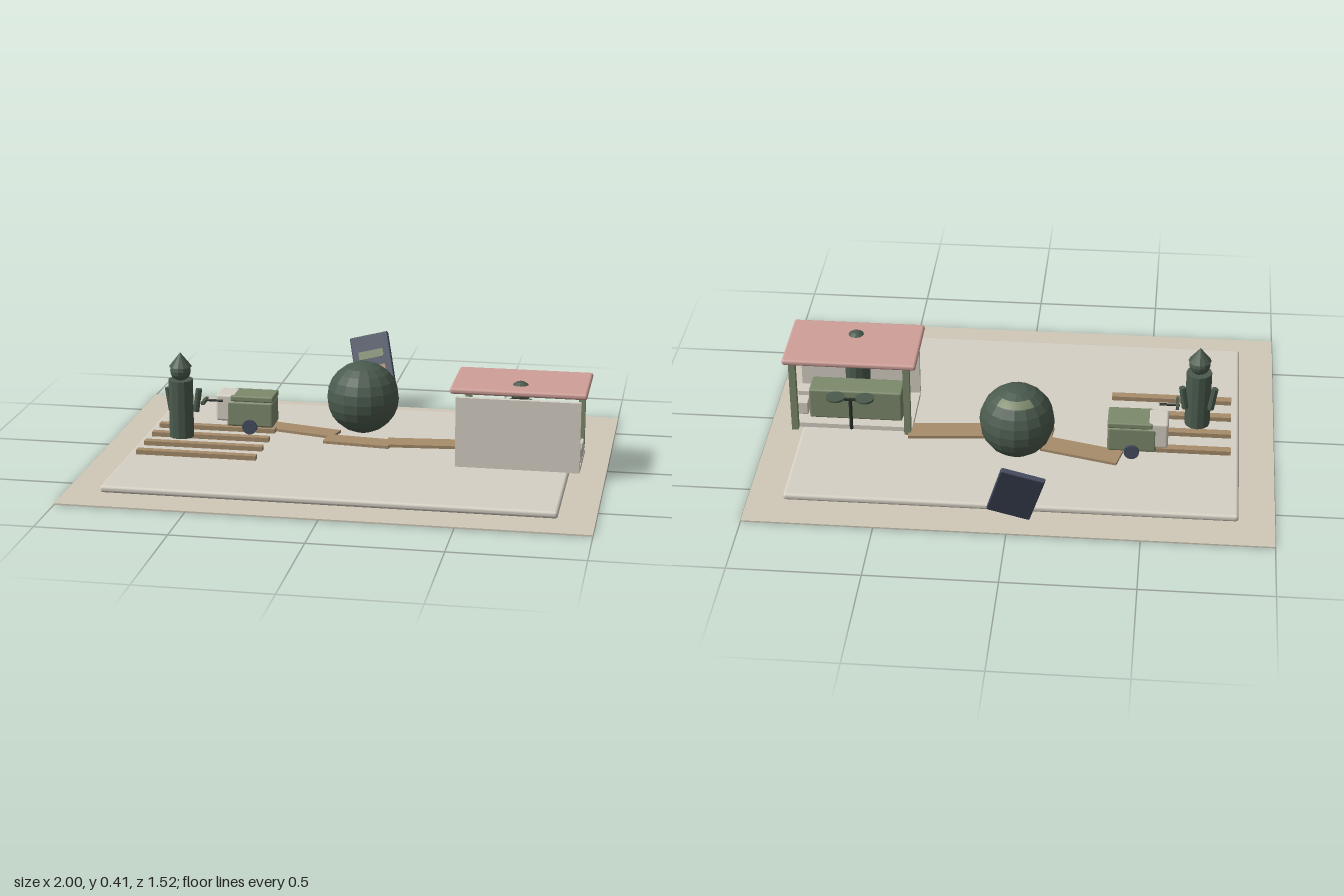
import * as THREE from 'three';
import { RoundedBoxGeometry } from 'three/addons/geometries/RoundedBoxGeometry.js';

const paint = (name, color, extra = {}) => {
  const m = new THREE.MeshStandardMaterial({ color, ...extra });
  m.name = name;
  return m;
};

export function createModel() {
  const sand = paint('sand', 0xd0c9b9);
  const pale = paint('pale stone', 0xd6d0c4);
  const darkGreen = paint('dark green', 0x4b5b4e);
  const olive = paint('olive', 0x7d8a6c);
  const pink = paint('dusty pink', 0xcf9f98);
  const tan = paint('wood tan', 0xa68c6b);
  const slate = paint('slate blue', 0x454d60);
  const black = paint('near black', 0x2a302c);
  darkGreen.flatShading = true;

  const model = new THREE.Group();
  model.name = 'diorama';

  const add = (name, geometry, material, pos, parent = model) => {
    const mesh = new THREE.Mesh(geometry, material);
    mesh.name = name;
    mesh.position.set(...pos);
    parent.add(mesh);
    return mesh;
  };
  const box = (name, size, mat, pos, parent) =>
    add(name, new THREE.BoxGeometry(...size), mat, pos, parent);
  const soft = (name, size, r, mat, pos, parent) =>
    add(name, new RoundedBoxGeometry(...size, 2, r), mat, pos, parent);
  const group = (name, pos = [0, 0, 0]) => {
    const g = new THREE.Group();
    g.name = name;
    g.position.set(...pos);
    model.add(g);
    return g;
  };

  // Ground sheet and raised platform
  box('ground', [2, 0.006, 1.465], sand, [0, 0.003, 0.0225]);
  soft('platform', [1.725, 0.028, 1.195], 0.012, pale, [0, 0.024, 0.023]);

  // Garden rows
  for (let i = 0; i < 4; i++) {
    box('gardenRow', [0.48, 0.022, 0.032], tan, [-0.59, 0.045, -0.155 + i * 0.12]);
  }

  // Path of three turned slabs: x, z, length, turn
  [[-0.25, -0.193, 0.31, -0.25], [0.005, -0.077, 0.27, -0.1], [0.28, -0.098, 0.32, 0.085]]
    .forEach(([x, z, length, turn], i) => {
      box('pathSlab', [length, 0.014, 0.092], tan, [x, 0.042 + i * 0.0004, z]).rotation.y = turn;
    });

  // Large sphere with a raised panel on its upper back
  const dome = group('sphere', [0, 0.19, -0.215]);
  add('sphereBody', new THREE.SphereGeometry(0.146, 16, 12), darkGreen, [0, 0, 0], dome);
  add('spherePanel', new THREE.SphereGeometry(0.148, 8, 2, Math.PI * 1.25, Math.PI / 2, 0.52, 0.24),
    olive, [0, 0, 0], dome);

  // Leaning board with three stripes
  const board = group('board', [-0.035, 0.173, -0.69]);
  board.rotation.set(-0.436, 0, 0.25, 'ZXY');
  soft('boardPanel', [0.168, 0.3, 0.02], 0.006, slate, [0, 0, 0], board);
  [olive, tan, pink].forEach((mat, i) => {
    box('boardStripe', [0.108, 0.034, 0.006], mat, [0, 0.063 - i * 0.068, 0.012], board);
  });

  // Cart with cab, lid and a pair of wheels
  const cart = group('cart', [-0.445, 0, -0.165]);
  soft('cartBody', [0.19, 0.105, 0.115], 0.01, olive, [0, 0.122, 0], cart);
  soft('cartLid', [0.175, 0.024, 0.12], 0.006, olive, [0.008, 0.187, 0], cart);
  soft('cartCab', [0.08, 0.11, 0.112], 0.01, pale, [-0.1, 0.145, 0], cart);
  for (const s of [-1, 1]) {
    add('wheel', new THREE.CylinderGeometry(0.03, 0.03, 0.02, 16), slate, [0, 0.072, s * 0.058], cart)
      .rotation.x = Math.PI / 2;
  }

  // Figures: body, head, arms
  const figure = (name, x, z, arms) => {
    const g = group(name, [x, 0, z]);
    add('body', new THREE.CylinderGeometry(0.05, 0.05, 0.235, 12), darkGreen, [0, 0.178, 0], g);
    add('head', new THREE.SphereGeometry(0.042, 12, 8), darkGreen, [0, 0.332, 0], g);
    if (!arms) return g;
    for (const s of [-1, 1]) {
      add('arm', new THREE.CylinderGeometry(0.013, 0.013, 0.095, 8), darkGreen, [s * 0.057, 0.2, -0.04], g)
        .rotation.z = -s * 0.15;
    }
    return g;
  };
  const gardener = figure('gardener', -0.695, 0.02, true);
  add('hat', new THREE.ConeGeometry(0.045, 0.057, 12), darkGreen, [0, 0.377, 0], gardener);
  // Tool held out towards the cart
  box('toolHead', [0.012, 0.014, 0.075], darkGreen, [0.08, 0.19, -0.068], gardener);
  add('toolRod', new THREE.CylinderGeometry(0.005, 0.005, 0.08, 8), black, [0.11, 0.19, -0.08], gardener)
    .rotation.z = Math.PI / 2;
  figure('keeper', 0.665, 0.088, false);

  // Kiosk: floor, front wall, rear posts and roof
  const kiosk = group('kiosk', [0.665, 0, 0]);
  box('kioskFloor', [0.48, 0.02, 0.265], pale, [0, 0.047, 0.025], kiosk);
  box('kioskWall', [0.48, 0.265, 0.02], pale, [0, 0.187, 0.16], kiosk);
  soft('kioskRoof', [0.525, 0.024, 0.32], 0.01, pink, [0, 0.348, 0.025], kiosk);
  for (const s of [-1, 1]) {
    box('kioskPost', [0.026, 0.3, 0.026], olive, [s * 0.224, 0.188, -0.118], kiosk);
  }

  // Counter and two crates
  soft('counter', [0.37, 0.13, 0.105], 0.008, olive, [-0.01, 0.121, -0.013], kiosk);
  for (const z of [0.067, -0.02]) {
    soft('crate', [0.057, 0.057, 0.057], 0.005, pale, [0.212, 0.086, z], kiosk);
  }

  // Stand with two small trays behind the counter
  add('trayStem', new THREE.CylinderGeometry(0.007, 0.007, 0.14, 8), black, [0, 0.12, -0.122], kiosk);
  box('trayBar', [0.115, 0.008, 0.01], black, [0, 0.186, -0.122], kiosk);
  for (const s of [-1, 1]) {
    add('tray', new THREE.CylinderGeometry(0.037, 0.037, 0.008, 16), darkGreen, [s * 0.058, 0.193, -0.122], kiosk);
  }

  return model;
}
